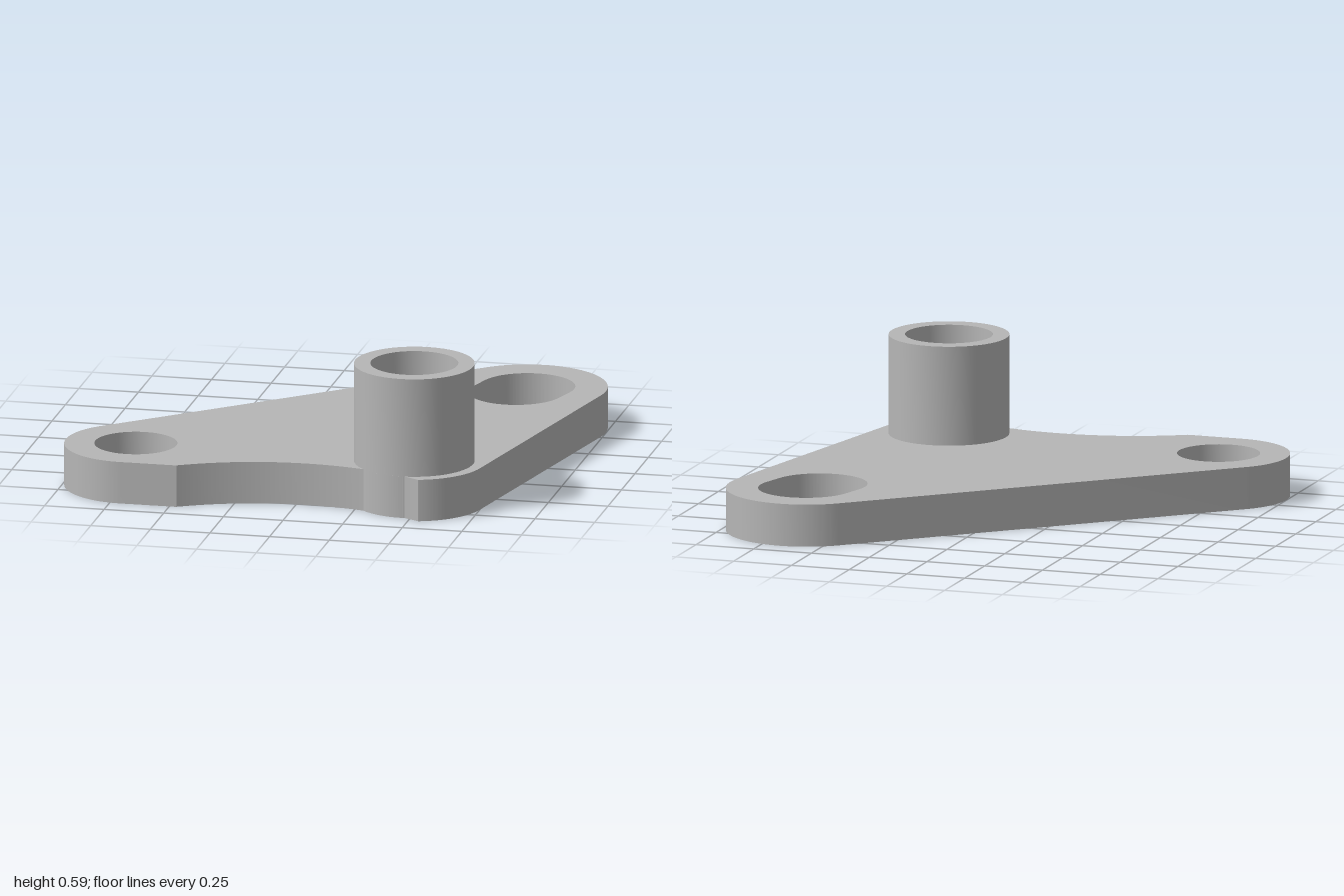
import * as THREE from 'three';
import { toCreasedNormals } from 'three/addons/utils/BufferGeometryUtils.js';

// Circles in plan; the shape's y axis becomes -z in the model
const bossLobe = { x: 0.463, y: -0.61, r: 0.293 };
const slotLobe = { x: 0.667, y: 0.575, r: 0.332 };
const holeLobe = { x: -0.706, y: -0.605, r: 0.293 };
const scoop = { x: 0.04, y: -1.728, r: 0.975 };
const boss = { x: 0.463, y: -0.61, r: 0.247 };
const plateTop = 0.176, bossTop = 0.59, bore = 0.18;
const recessRadius = 0.234, recessDepth = 0.055;

const angleTo = (c, [x, y]) => Math.atan2(y - c.y, x - c.x);

// Angle of the outer tangent's normal, travelling anticlockwise from a to b
function tangentAngle(a, b) {
  const dx = b.x - a.x, dy = b.y - a.y;
  return Math.atan2(dy, dx) - Math.acos((a.r - b.r) / Math.hypot(dx, dy));
}

function circlePath(x, y, r) {
  return new THREE.Path().absarc(x, y, r, 0, Math.PI * 2, true);
}

// Slot: two equal semicircles joined by straight sides
function slotPath(a, b, r) {
  const t = Math.atan2(b[1] - a[1], b[0] - a[0]);
  const path = new THREE.Path();
  path.absarc(b[0], b[1], r, t - Math.PI / 2, t + Math.PI / 2, false);
  path.absarc(a[0], a[1], r, t + Math.PI / 2, t + Math.PI * 1.5, false);
  path.closePath();
  return path;
}

export function createModel() {
  const group = new THREE.Group();
  group.name = 'bracket';
  const metal = new THREE.MeshStandardMaterial({ color: 0xb6b6b6 });
  metal.name = 'grey metal';

  const add = (name, geometry) => {
    const mesh = new THREE.Mesh(toCreasedNormals(geometry, 0.5), metal);
    mesh.name = name;
    group.add(mesh);
    return mesh;
  };

  // Plate outline: three lobes, then the scooped front edge, which the boss interrupts
  const flatEnd = [-0.47, -0.898], scoopEnd = [0.545, -0.892];
  const bossIn = [0.289, -0.785], bossOut = [0.477, -0.857];
  const rightSide = tangentAngle(bossLobe, slotLobe);
  const longSide = tangentAngle(slotLobe, holeLobe);
  const arc = (c, from, to, clockwise) => outline.absarc(c.x, c.y, c.r, from, to, clockwise);
  const outline = new THREE.Shape();
  arc(bossLobe, angleTo(bossLobe, scoopEnd), rightSide, false);
  arc(slotLobe, rightSide, longSide, false);
  arc(holeLobe, longSide, Math.PI * 1.5, false);
  outline.lineTo(...flatEnd);
  arc(scoop, angleTo(scoop, flatEnd), angleTo(scoop, bossIn), true);
  arc(boss, angleTo(boss, bossIn), angleTo(boss, bossOut), false);
  arc(scoop, angleTo(scoop, bossOut), angleTo(scoop, scoopEnd), true);
  outline.holes.push(
    circlePath(holeLobe.x, holeLobe.y, 0.17),
    circlePath(boss.x, boss.y, recessRadius),
    slotPath([0.643, 0.486], [0.669, 0.58], 0.196)
  );
  const plate = new THREE.ExtrudeGeometry(outline, {
    depth: plateTop, bevelEnabled: false, curveSegments: 48
  });
  plate.rotateX(-Math.PI / 2);
  add('plate', plate);

  // Hollow boss, with its underside set back to leave a shallow recess
  const profile = [
    [boss.r, plateTop], [boss.r, bossTop], [bore, bossTop],
    [bore, recessDepth], [recessRadius, recessDepth]
  ].map(([r, y]) => new THREE.Vector2(r, y));
  const tube = add('boss', new THREE.LatheGeometry(profile, 64));
  tube.position.set(boss.x, 0, -boss.y);

  return group;
}
